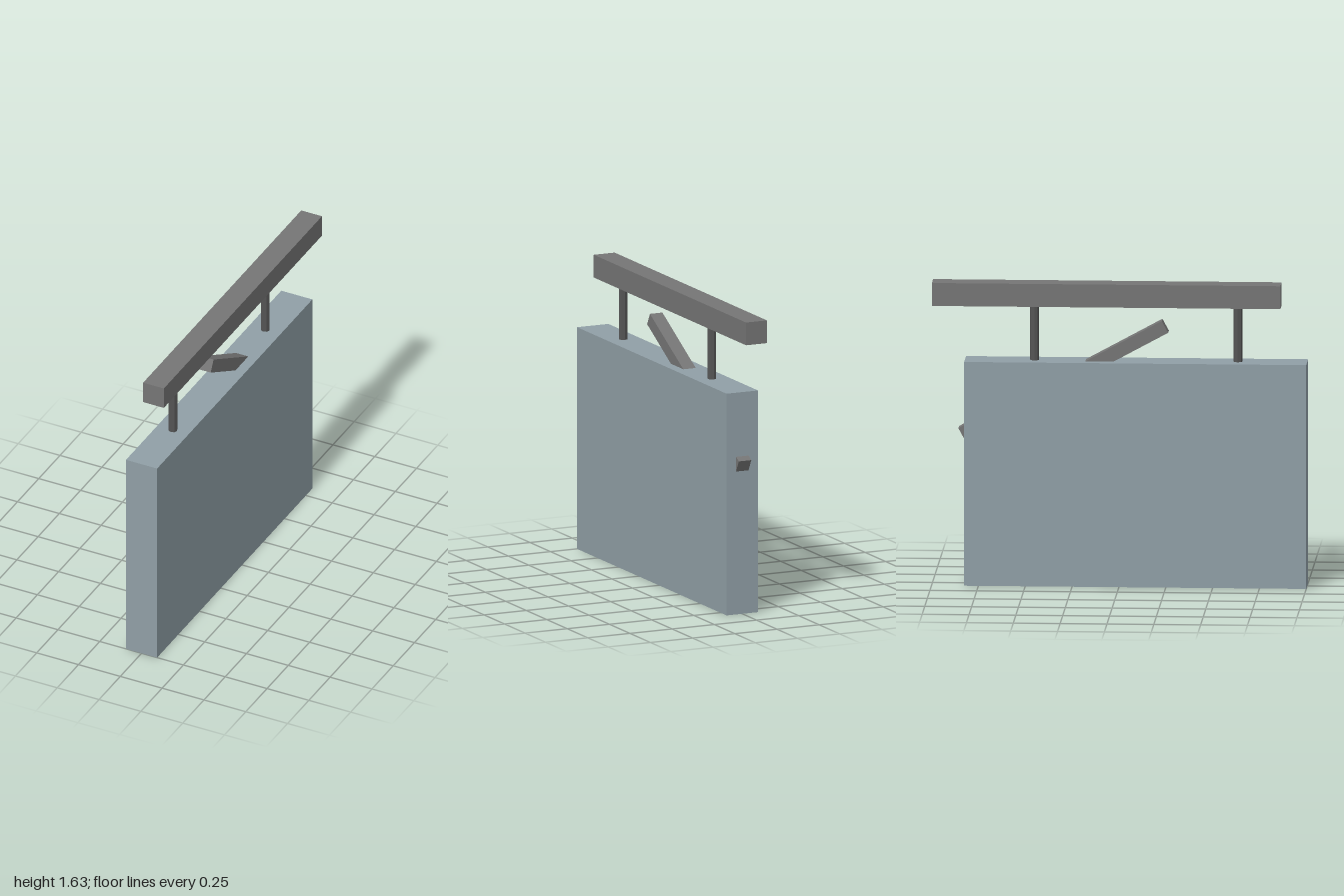
import * as THREE from 'three';

const mat = (name, color) => {
  const m = new THREE.MeshStandardMaterial({ color });
  m.name = name;
  return m;
};

export function createModel() {
  const group = new THREE.Group();
  const panelGrey = mat('blueGreyPanel', 0x909fa6);
  const steel = mat('steelGrey', 0x757575);
  const darkSteel = mat('darkSteel', 0x555555);
  darkSteel.flatShading = true;

  const add = (name, geometry, material, x, y, z) => {
    const mesh = new THREE.Mesh(geometry, material);
    mesh.name = name;
    mesh.position.set(x, y, z);
    group.add(mesh);
    return mesh;
  };

  // Hanging door panel
  add('panel', new THREE.BoxGeometry(0.186, 1.21, 1.826), panelGrey, 0, 0.605, 0.087);

  // Overhead rail
  add('rail', new THREE.BoxGeometry(0.124, 0.124, 1.86), steel, 0, 1.568, -0.07);

  // Two thin rods joining the panel to the rail
  for (const [name, z] of [['frontHanger', 0.63], ['backHanger', -0.455]]) {
    add(name, new THREE.CylinderGeometry(0.024, 0.024, 0.31, 8), darkSteel, 0, 1.36, z);
  }

  // Sloping brace that passes through the panel and pokes out at the back edge
  const brace = add('brace', new THREE.BoxGeometry(0.074, 0.072, 1.235), steel, 0, 1.105, -0.3);
  brace.rotation.x = -Math.atan2(0.59, 1.0855);

  return group;
}
